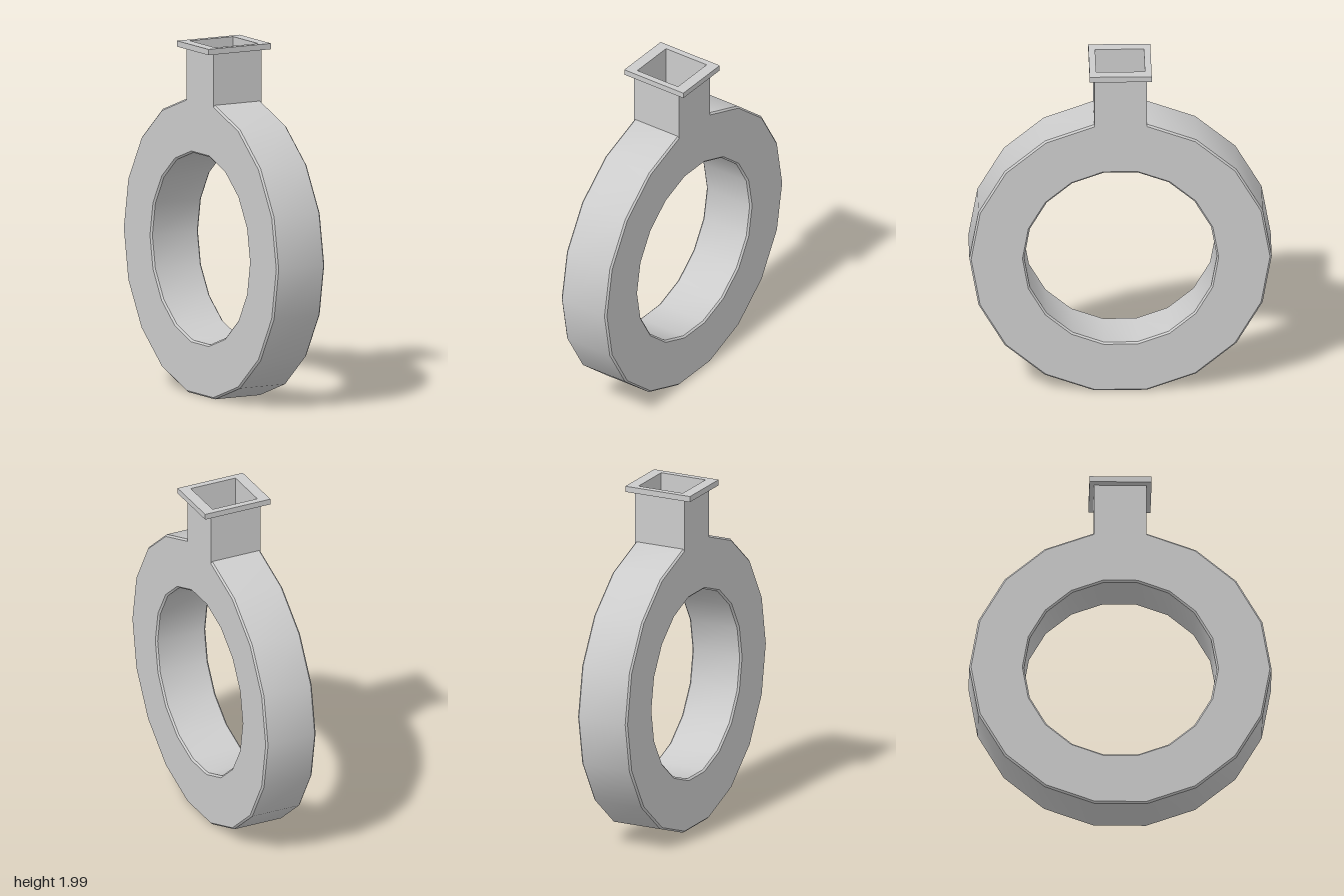
import * as THREE from 'three';
import { toCreasedNormals } from 'three/addons/utils/BufferGeometryUtils.js';

const material = new THREE.MeshStandardMaterial({ color: 0xcccccc });

const CENTRE_Y = 0.84;
const HALF_WIDTH = 0.156;
const OUTER = 0.847;
const INNER = 0.54;
const BEVEL = 0.01;

function rect(path, hx, hz) {
  path.moveTo(-hx, -hz);
  path.lineTo(hx, -hz);
  path.lineTo(hx, hz);
  path.lineTo(-hx, hz);
  path.closePath();
  return path;
}

// Upright rectangular sleeve between two heights, open at both ends
function sleeve(name, hx, hz, y0, y1) {
  const shape = rect(new THREE.Shape(), hx, hz);
  shape.holes.push(rect(new THREE.Path(), 0.14, 0.137));
  const geometry = new THREE.ExtrudeGeometry(shape, { depth: y1 - y0, bevelEnabled: false });
  geometry.rotateX(-Math.PI / 2).translate(0, y0, 0);
  const mesh = new THREE.Mesh(geometry, material);
  mesh.name = name;
  return mesh;
}

// Eighteen-sided ring of rectangular section with slightly bevelled edges
function ring() {
  const w = HALF_WIDTH, b = BEVEL;
  const profile = [
    [OUTER, -w + b], [OUTER, w - b], [OUTER - b, w],
    [INNER + b, w], [INNER, w - b], [INNER, -w + b],
    [INNER + b, -w], [OUTER - b, -w], [OUTER, -w + b],
  ].map(([r, x]) => new THREE.Vector2(r, x));
  const geometry = new THREE.LatheGeometry(profile, 18);
  geometry.rotateZ(Math.PI / 2).translate(0, CENTRE_Y, 0);
  const mesh = new THREE.Mesh(toCreasedNormals(geometry, Math.PI / 6), material);
  mesh.name = 'ring';
  return mesh;
}

export function createModel() {
  const group = new THREE.Group();
  group.name = 'ringDuct';
  group.add(
    ring(),
    sleeve('neck', HALF_WIDTH, 0.147, 1.655, 1.967),
    sleeve('flange', 0.204, 0.174, 1.967, 2),
  );
  // Rest the flat lowest side of the ring on the ground
  const box = new THREE.Box3().setFromObject(group);
  group.position.y = -box.min.y;
  return group;
}
